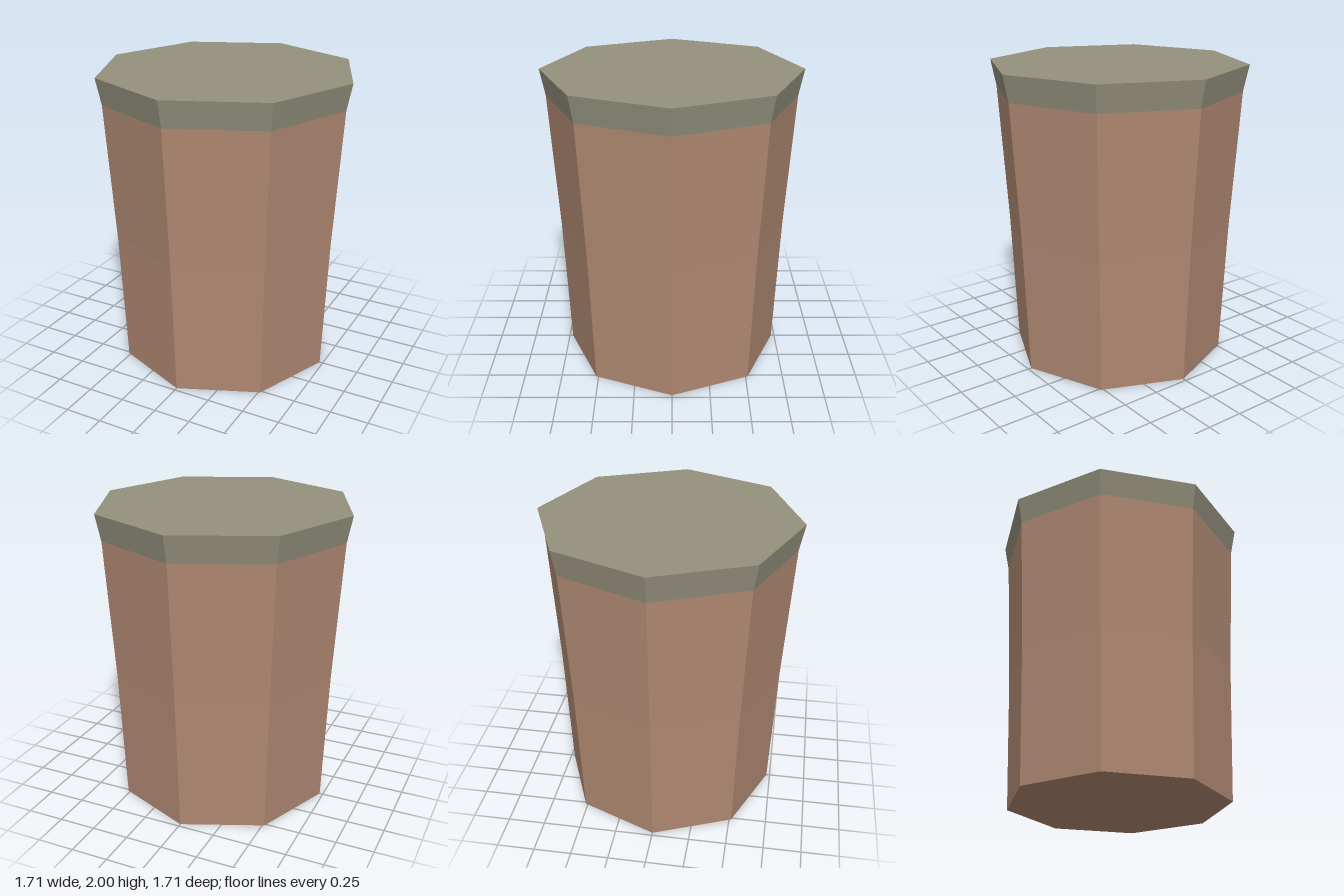
import * as THREE from 'three';

const SIDES = 8;

export function createModel() {
  const bark = new THREE.MeshStandardMaterial({ color: 0xb08972, flatShading: true });
  bark.name = 'brown';
  const moss = new THREE.MeshStandardMaterial({ color: 0x94917d, flatShading: true });
  moss.name = 'greyGreen';

  const group = new THREE.Group();
  group.name = 'taperedPost';

  // Open eight-sided ring between two heights
  const ring = (name, y0, r0, y1, r1, material) => {
    const geometry = new THREE.CylinderGeometry(r1, r0, y1 - y0, SIDES, 1, true);
    const mesh = new THREE.Mesh(geometry, material);
    mesh.position.y = (y0 + y1) / 2;
    mesh.name = name;
    group.add(mesh);
  };

  // Flat octagonal end, facing up or down
  const cap = (name, y, r, up, material) => {
    const mesh = new THREE.Mesh(new THREE.CircleGeometry(r, SIDES), material);
    mesh.rotation.x = up ? -Math.PI / 2 : Math.PI / 2;
    mesh.position.y = y;
    mesh.name = name;
    group.add(mesh);
  };

  // Body widens towards the flared rim
  ring('lowerBody', 0, 0.727, 0.91, 0.763, bark);
  ring('upperBody', 0.91, 0.763, 1.825, 0.818, bark);
  ring('rim', 1.825, 0.818, 2, 0.853, moss);
  cap('base', 0, 0.727, false, bark);
  cap('topFace', 2, 0.853, true, moss);

  return group;
}
